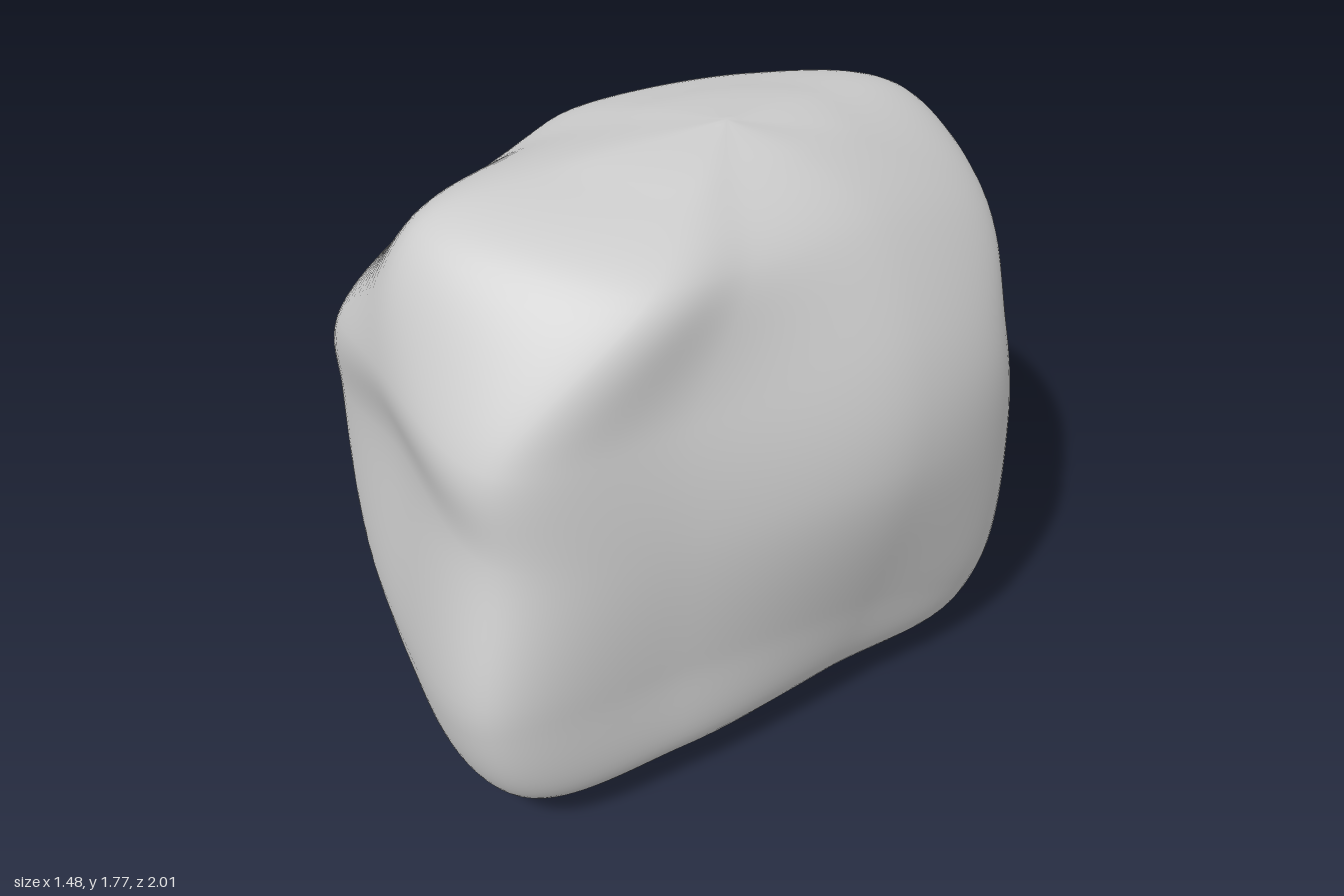
import * as THREE from 'three';
import { mergeVertices } from 'three/addons/utils/BufferGeometryUtils.js';

const V = (p) => new THREE.Vector3(...p);
const TOP = V([0.07, 1.785, -0.1]);
const BOTTOM = V([-0.1, 0.015, -0.25]);

// Rock outlines, each climbing: base edge, low bulge, waist, shoulder, top edge
const front = [[-0.1, 0.14, 0.83], [-0.1, 0.37, 0.915], [-0.1, 1.03, 0.875], [-0.1, 1.31, 0.915], [-0.1, 1.66, 0.77]];
const frontLeft = [[0.43, 0.15, 0.86], [0.46, 0.48, 0.98], [0.42, 0.95, 0.895], [0.4, 1.22, 0.88], [0.46, 1.6, 0.45]];
const leftFore = [[0.54, 0.16, 0.4], [0.57, 0.48, 0.42], [0.59, 0.93, 0.4], [0.55, 1.25, 0.38], [0.49, 1.58, 0.15]];
const left = [[0.52, 0.14, -0.15], [0.63, 0.45, -0.2], [0.73, 0.93, -0.25], [0.67, 1.25, -0.28], [0.47, 1.56, -0.32]];
const backLeft = [[0.47, 0.12, -0.67], [0.54, 0.3, -0.77], [0.55, 0.8, -0.81], [0.53, 1.15, -0.77], [0.34, 1.44, -0.83]];
const back = [[-0.1, 0.1, -0.72], [-0.1, 0.4, -0.94], [-0.1, 0.74, -0.99], [0, 1.29, -0.84], [-0.05, 1.62, -0.88]];
const backRight = [[-0.42, 0.06, -0.53], [-0.54, 0.4, -0.69], [-0.58, 0.78, -0.69], [-0.57, 1.2, -0.63], [-0.45, 1.59, -0.61]];
const right = [[-0.58, 0.06, 0], [-0.735, 0.49, 0.05], [-0.72, 0.9, -0.06], [-0.68, 1.27, -0.08], [-0.57, 1.595, 0]];
const frontRight = [[-0.47, 0.14, 0.62], [-0.63, 0.48, 0.7], [-0.665, 0.94, 0.73], [-0.64, 1.2, 0.71], [-0.41, 1.62, 0.28]];

// Close an outline over the domed crown and under the base as one smooth curve
function meridian(points) {
  const p = points.map(V);
  const under = p[0].clone().lerp(BOTTOM, 0.45);
  const crown = p[4].clone().lerp(TOP, 0.5);
  under.y -= 0.02;
  crown.y += 0.2 * (TOP.y - p[4].y);
  return new THREE.CatmullRomCurve3([BOTTOM, under, ...p, crown, TOP]);
}

function rockGeometry(rows, cols) {
  const curves = [front, frontLeft, leftFore, left, backLeft, back, backRight, right, frontRight].map(meridian);
  const positions = [], index = [];
  for (let i = 0; i <= rows; i++) {
    // Smooth closed ring through the outlines at this level
    const ring = new THREE.CatmullRomCurve3(curves.map((c) => c.getPoint(i / rows)), true);
    for (let j = 0; j < cols; j++) {
      const pole = i === 0 ? BOTTOM : i === rows ? TOP : null;
      positions.push(...(pole || ring.getPoint(j / cols)).toArray());
      if (i === rows) continue;
      const a = i * cols + j, b = i * cols + (j + 1) % cols;
      if (i > 0) index.push(a, b, a + cols);
      if (i < rows - 1) index.push(b, b + cols, a + cols);
    }
  }
  let geometry = new THREE.BufferGeometry();
  geometry.setAttribute('position', new THREE.Float32BufferAttribute(positions, 3));
  geometry.setIndex(index);
  geometry = mergeVertices(geometry, 1e-5);

  // Centre on the ground
  geometry.computeBoundingBox();
  const box = geometry.boundingBox;
  const centre = box.getCenter(new THREE.Vector3());
  geometry.translate(-centre.x, -box.min.y, -centre.z);
  geometry.computeVertexNormals();
  return geometry;
}

export function createModel() {
  const group = new THREE.Group();
  group.name = 'boulder';
  const rock = new THREE.Mesh(
    rockGeometry(96, 135),
    new THREE.MeshStandardMaterial({ color: 0xcccccc })
  );
  rock.name = 'rock';
  group.add(rock);
  return group;
}
